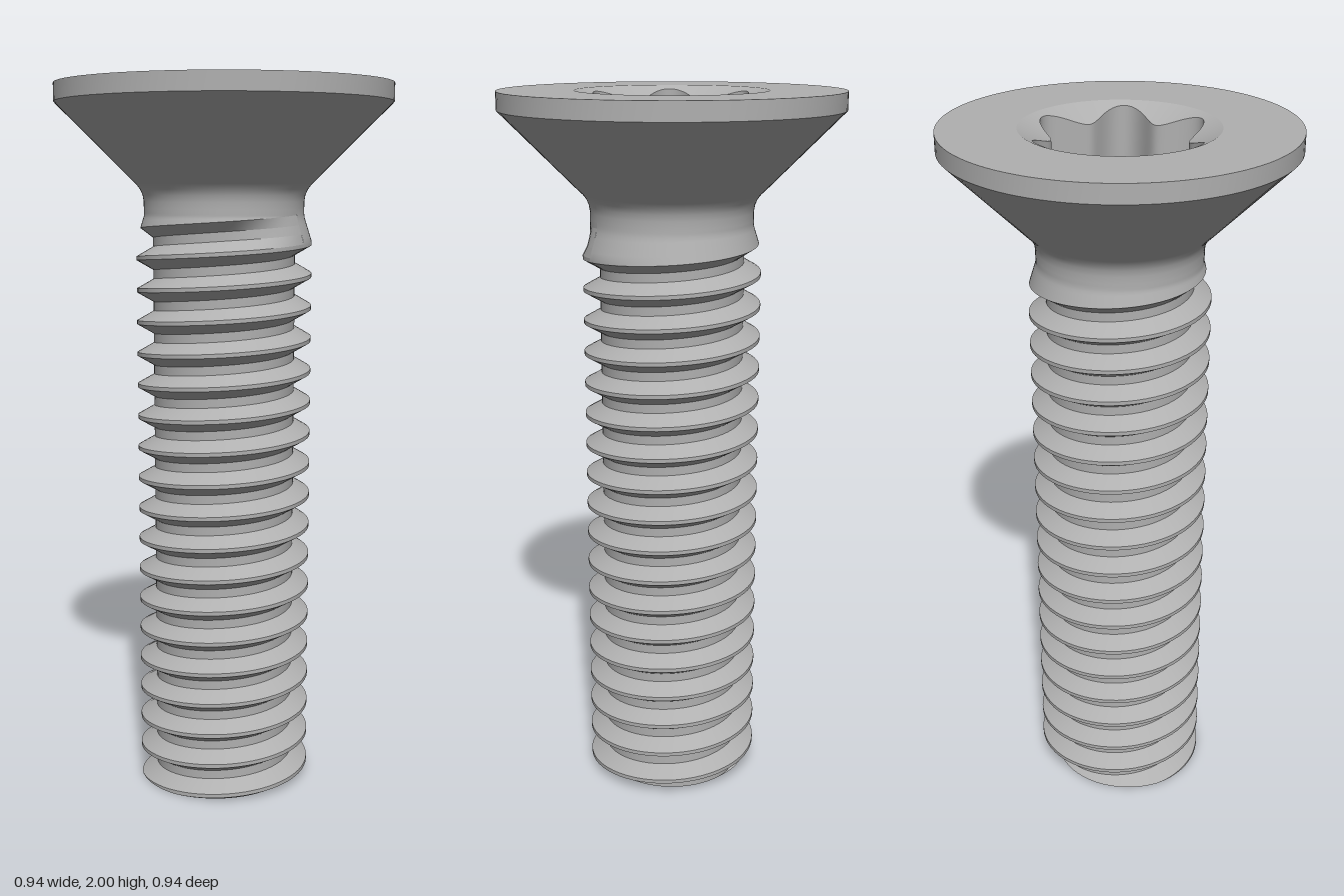
import * as THREE from 'three';

const TAU = Math.PI * 2;
const PITCH = 0.09, CREST = 0.247, ROOT = 0.2, FIRST = 0.03, TURNS = 17;
const { lerp, clamp, smoothstep } = THREE.MathUtils;

// Smooth grid surface: fn(u, v) gives [angle, radius, y]; angle 0 faces +z and grows toward +x
function sweep(name, material, cols, rows, closed, fn) {
  const positions = [], index = [];
  for (let j = 0; j <= rows; j++) {
    for (let i = 0; i < cols + (closed ? 0 : 1); i++) {
      const [a, r, y] = fn(i / cols, j / rows);
      positions.push(r * Math.sin(a), y, r * Math.cos(a));
    }
  }
  const stride = closed ? cols : cols + 1;
  for (let j = 0; j < rows; j++) {
    for (let i = 0; i < cols; i++) {
      const a = j * stride + i, b = j * stride + (i + 1) % stride;
      index.push(a, b, b + stride, a, b + stride, a + stride);
    }
  }
  const geometry = new THREE.BufferGeometry();
  geometry.setAttribute('position', new THREE.Float32BufferAttribute(positions, 3));
  geometry.setIndex(index);
  geometry.computeVertexNormals();
  const mesh = new THREE.Mesh(geometry, material);
  mesh.name = name;
  return mesh;
}

// Tapering collar that ends the thread under the neck
const collar = (y) => lerp(CREST, 0.225, clamp((y - 1.57) / 0.07, 0, 1));

// Thread cross-section: offsets above the crest line
const OFFSETS = [-0.0055, 0.0055, 0.0325, 0.0575, 0.0845];

// Thread radius at turn s and offset o above the crest line
function threadRadius(s, o, y) {
  const crest = collar(y);
  const root = lerp(ROOT, crest, smoothstep(s, TURNS - 0.2, TURNS));
  if (o <= OFFSETS[1] || o >= OFFSETS[4]) return crest;
  if (o < OFFSETS[2]) return lerp(crest, root, (o - OFFSETS[1]) / (OFFSETS[2] - OFFSETS[1]));
  if (o > OFFSETS[3]) return lerp(root, crest, (o - OFFSETS[3]) / (OFFSETS[4] - OFFSETS[3]));
  return root;
}

const crestY = (s) => FIRST + PITCH * s;
const turnAngle = (s) => Math.PI / 2 + TAU * s;

// Point on the thread, cut off flat at the ground
function threadPoint(s, o) {
  const y = Math.max(0, crestY(s) + o);
  return [turnAngle(s), threadRadius(s, y - crestY(s), y), y];
}

// Six-lobed outline of the drive recess
const lobe = (a) => 0.208 + 0.032 * Math.cos(6 * (a - Math.PI / 2 - 0.087));
const RIM = 0.262;
const recessEdgeY = (r) => 2 - (RIM - r) * 0.45;
const floorY = (r) => 1.76 + r * 0.35;

export function createModel() {
  const model = new THREE.Group();
  model.name = 'screw';
  const steel = new THREE.MeshStandardMaterial({ color: 0xb0b0b0 });
  steel.name = 'grey steel';

  // Thread: crest, upper flank, root and lower flank as helical strips
  const thread = new THREE.Group();
  thread.name = 'thread';
  const start = -1.3;
  ['threadCrest', 'threadUpperFlank', 'threadRoot', 'threadLowerFlank'].forEach((name, k) => {
    thread.add(sweep(name, steel, 1098, 1, false, (u, v) =>
      threadPoint(lerp(start, TURNS, u), OFFSETS[k + v])));
  });

  // Collar rising from the last thread turn to the neck
  thread.add(sweep('collar', steel, 96, 8, false, (u, v) => {
    const s = TURNS + u;
    const y = lerp(crestY(s) + OFFSETS[0], 1.66, v);
    return [turnAngle(s), collar(y), y];
  }));

  // Flat end of the shank, following the cut thread
  thread.add(sweep('shankEnd', steel, 180, 1, true, (u, v) => {
    let s = u;
    while (-crestY(s) < OFFSETS[0]) s -= 1;
    return [turnAngle(u), v * threadRadius(s, -crestY(s), 0), 0];
  }));
  model.add(thread);

  // Head: filleted neck with cone, straight band, flat top
  const head = new THREE.Group();
  head.name = 'head';
  const ring = (name, profile) => head.add(
    sweep(name, steel, 96, profile.length - 1, true, (u, v) =>
      [u * TAU, ...profile[Math.round(v * (profile.length - 1))]]));
  ring('neckAndCone', [[0.225, 1.66], [0.225, 1.68], [0.228, 1.698], [0.235, 1.714],
    [0.246, 1.728], [0.262, 1.743], [0.28, 1.761], [0.46, 1.94], [0.47, 1.95]]);
  ring('headBand', [[0.47, 1.95], [0.47, 2]]);
  ring('headTop', [[0.47, 2], [RIM, 2]]);

  // Drive recess: shallow countersink, lobed wall, conical floor
  head.add(sweep('recessCountersink', steel, 144, 4, true, (u, v) => {
    const r = lerp(RIM, lobe(u * TAU), v);
    return [u * TAU, r, recessEdgeY(r)];
  }));
  head.add(sweep('recessWall', steel, 144, 1, true, (u, v) => {
    const r = lobe(u * TAU);
    return [u * TAU, r, lerp(recessEdgeY(r), floorY(r), v)];
  }));
  head.add(sweep('recessFloor', steel, 144, 4, true, (u, v) => {
    const r = lobe(u * TAU) * (1 - v);
    return [u * TAU, r, floorY(r)];
  }));
  model.add(head);

  return model;
}
